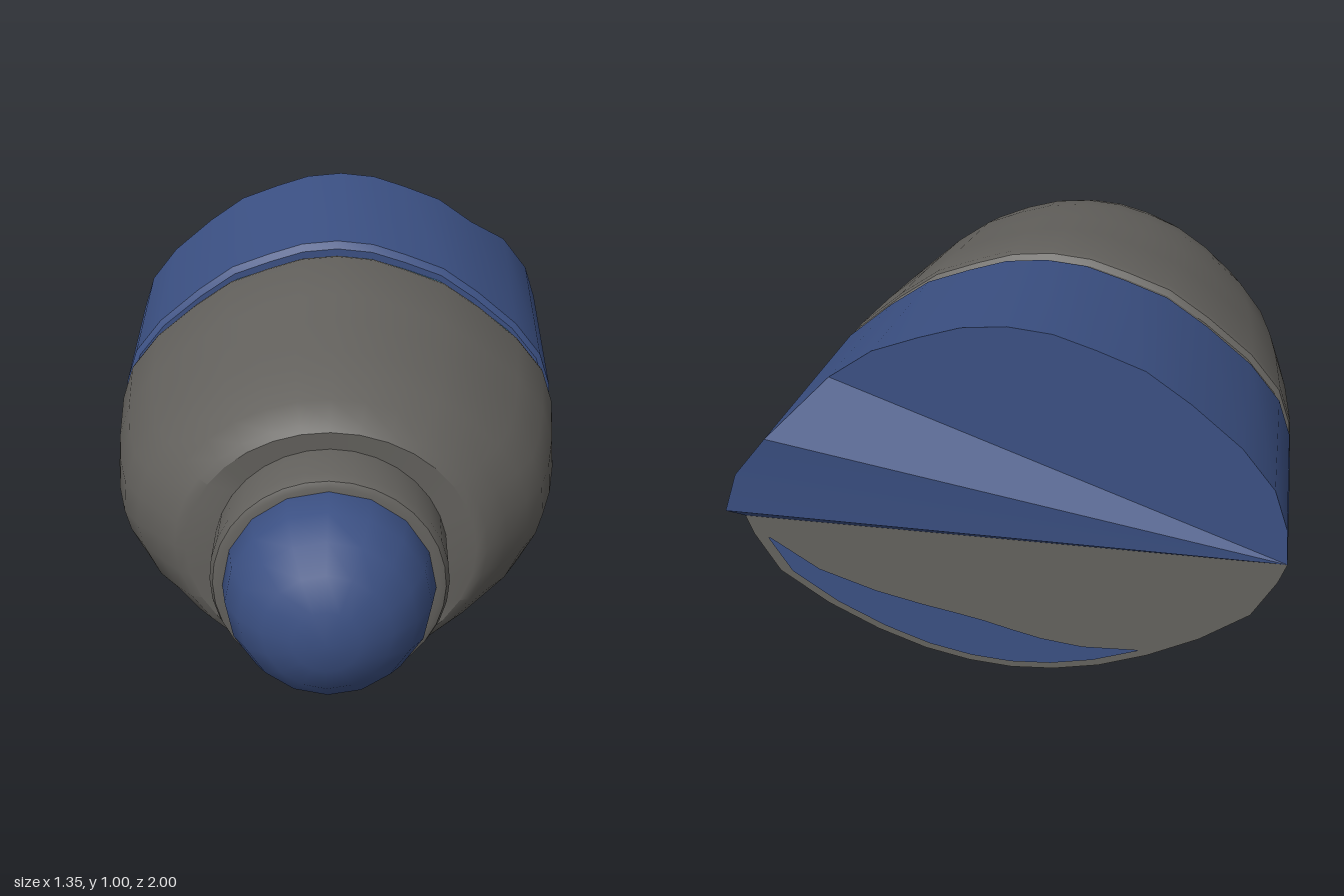
import * as THREE from 'three';
import { toCreasedNormals } from 'three/addons/utils/BufferGeometryUtils.js';

// Half outline of the lens-shaped hull, top to bottom (x and height as fractions)
const HALF = [[0, 1], [0.16, 0.98], [0.31, 0.92], [0.48, 0.84], [0.64, 0.7], [0.82, 0.51], [0.94, 0.32], [0.99, 0.13],
  [1, -0.06], [0.97, -0.19], [0.88, -0.44], [0.7, -0.65], [0.51, -0.81], [0.33, -0.92], [0.16, -0.98], [0, -1]];
const N = 30;

// Closed section: half width w, top and bottom heights, round = 0 (lens) .. 1 (ellipse)
function section([z, w, top, bottom, round = 0]) {
  const mid = bottom + (top - bottom) * (0.425 + 0.075 * round);
  const points = [];
  for (let i = 0; i < N; i++) {
    const k = i < 16 ? i : N - i;
    const a = (k <= 8 ? k / 8 : 1 + (k - 8) / 7) * Math.PI / 2;
    const x = THREE.MathUtils.lerp(HALF[k][0], Math.sin(a), round);
    const t = THREE.MathUtils.lerp(HALF[k][1], Math.cos(a), round);
    const y = mid + t * (t > 0 ? top - mid : mid - bottom);
    points.push(new THREE.Vector3((i < 16 ? 1 : -1) * x * w, y, z));
  }
  return points;
}

function fromTriangles(triangles, crease = 0.55) {
  const geometry = new THREE.BufferGeometry().setFromPoints(triangles);
  geometry.computeVertexNormals();
  return toCreasedNormals(geometry, crease);
}

// Skin between successive sections, running front to back
function loft(rings) {
  const tri = [];
  for (let r = 0; r + 1 < rings.length; r++) {
    const a = rings[r], b = rings[r + 1];
    for (let i = 0; i < N; i++) {
      const j = (i + 1) % N;
      tri.push(a[i], a[j], b[i], a[j], b[j], b[i]);
    }
  }
  return fromTriangles(tri);
}

// Rear-facing fan from one rim point across a run of rim points
function fan(rim, anchor, from, to) {
  const tri = [];
  for (let i = from; i < to; i++) tri.push(rim[anchor], rim[i % N], rim[(i + 1) % N]);
  return fromTriangles(tri, 0.1);
}

export function createModel() {
  const group = new THREE.Group();
  const material = (name, color) => {
    const m = new THREE.MeshStandardMaterial({ color });
    m.name = name;
    return m;
  };
  const grey = material('warm grey', 0x63615d);
  const navy = material('navy blue', 0x3b5083);
  const cyan = material('light blue', 0x539bcb);
  const add = (name, geometry, mat) => {
    const mesh = new THREE.Mesh(geometry, mat);
    mesh.name = name;
    group.add(mesh);
    return mesh;
  };

  // Grey front hull
  add('frontHull', loft([
    [0.565, 0.22, 0.6, 0.18, 1], [0.57, 0.38, 0.745, 0.065, 1], [0.555, 0.41, 0.765, 0.05, 0.95],
    [0.49, 0.465, 0.8, 0.03, 0.8], [0.4, 0.53, 0.833, 0.012, 0.55], [0.3, 0.58, 0.857, 0.005, 0.3],
    [0.15, 0.615, 0.878, 0.003, 0.12], [0, 0.638, 0.9, 0.005, 0.04], [-0.23, 0.66, 0.932, 0.012],
    [-0.25, 0.658, 0.928, 0.018], [-0.26, 0.645, 0.912, 0.03], [-0.26, 0.5, 0.75, 0.15],
  ].map(section)), grey);

  // Light band in the groove
  add('band', loft([[-0.24, 0.636, 0.895, 0.062], [-0.335, 0.636, 0.905, 0.062]].map(section)), cyan);

  // Blue rear hull, with a spur pulled out of the rim on one side
  const front = section([-0.335, 0.662, 0.945, 0.022]);
  const rim = section([-0.865, 0.674, 1, 0.05]);
  rim.forEach((p, i) => { p.z = i >= 5 && i <= 7 ? -1 : -0.86 - 0.018 * (1 - p.y); });
  add('rearHull', loft([
    section([-0.32, 0.5, 0.75, 0.15]), section([-0.32, 0.648, 0.925, 0.035]), front, rim,
  ]), navy);
  add('upperRearCap', fan(rim, 22, 23, 38), navy);
  add('lowerRearCap', fan(rim, 22, 8, 21), grey);

  // Blue crescent on the lower rear cap
  const centre = new THREE.Vector3(0, 0.4, 0);
  const inset = (i, s) => {
    const p = rim[i].clone().sub(centre);
    return new THREE.Vector3(p.x * s, 0.4 + p.y * s, -0.883);
  };
  const crescent = [];
  const inner = (i) => inset(i, 0.93 - 0.32 * Math.sin(Math.PI * (i - 9) / 9));
  for (let i = 9; i < 18; i++) {
    const o = inset(i, 0.94), p = inset(i + 1, 0.94);
    crescent.push(o, p, inner(i), p, inner(i + 1), inner(i));
  }
  add('rearCrescent', fromTriangles(crescent), navy);

  // Thin grey sliver on the side of the rear hull
  const onSide = (u, t) => {
    const p = front[9].clone().lerp(front[10], t);
    p.lerp(rim[9].clone().lerp(rim[10], t), u);
    p.x += 0.005;
    return p;
  };
  add('sideSliver', fromTriangles([onSide(0.5, 0.75), onSide(0.995, 0.85), onSide(0.995, 0.58)]), grey);

  // Collar and domed nose
  const profile = [[0.305, 0.55], [0.305, 0.7], [0.295, 0.725], [0.28, 0.732], [0.25, 0.732]]
    .map(([r, y]) => new THREE.Vector2(r, y));
  const collar = add('collar', toCreasedNormals(new THREE.LatheGeometry(profile, 32), 0.55), grey);
  const dome = add('nose', new THREE.SphereGeometry(0.27, 16, 5, 0, Math.PI * 2, 0, Math.PI / 2), navy);
  collar.position.set(0, 0.393, 0);
  dome.position.set(0, 0.393, 0.73);
  collar.rotation.x = dome.rotation.x = Math.PI / 2;

  return group;
}
